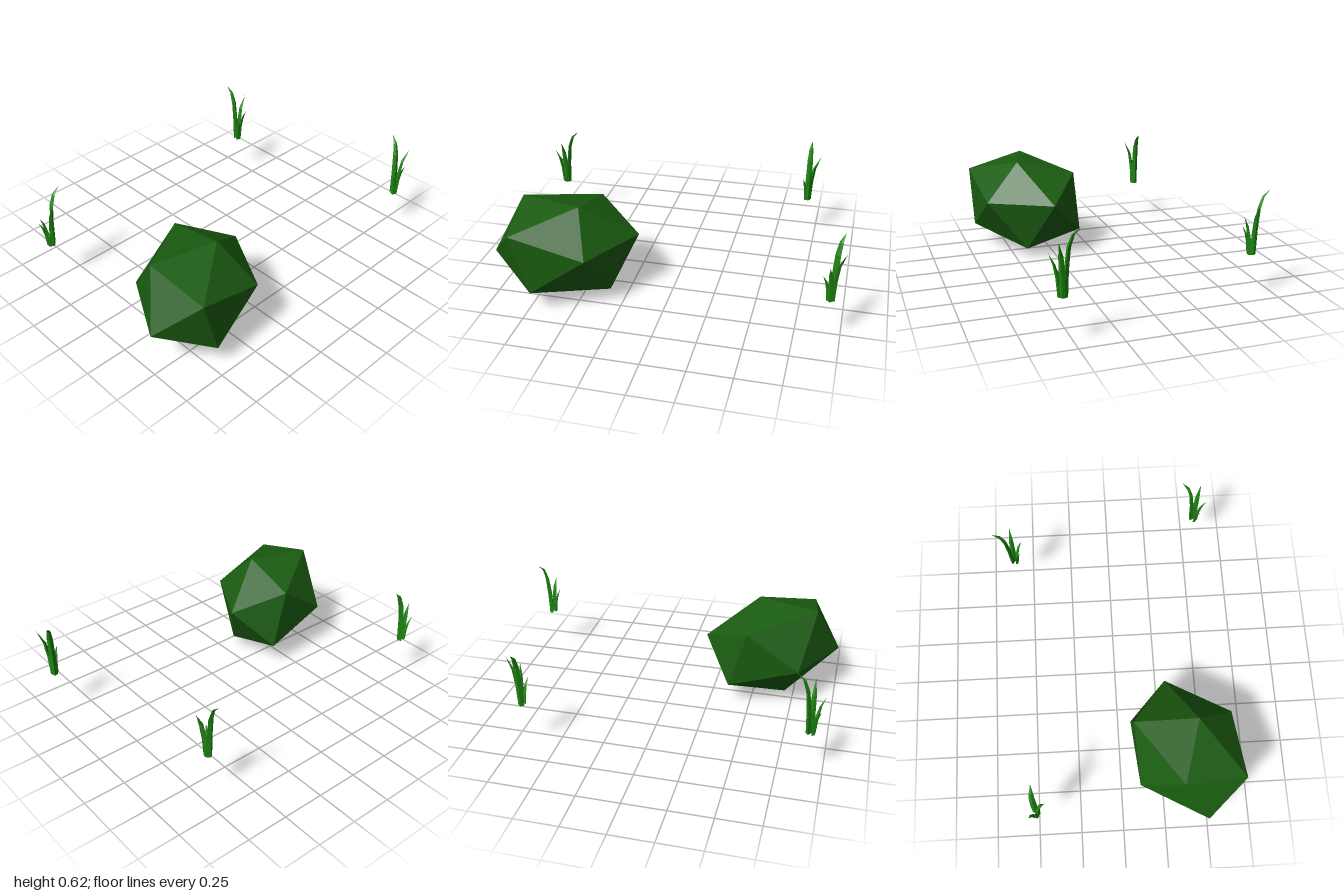
import * as THREE from 'three';
import { ConvexGeometry } from 'three/addons/geometries/ConvexGeometry.js';

const bushMaterial = new THREE.MeshStandardMaterial({ color: 0x1a5c10, flatShading: true });
const grassMaterial = new THREE.MeshStandardMaterial({ color: 0x1f8512, flatShading: true });

// Irregular twenty-sided bush: the hull of twelve corners
function createBush() {
  const corners = [
    [-1, 0.265, 0.487], [-0.695, 0, 0.325], [-0.33, 0.06, 0.43], [-0.193, 0.362, 0.283],
    [-0.493, 0.582, 0.445], [-0.86, 0.568, 0.342], [-0.82, 0.485, 0.695], [-0.4, 0.36, 0.66],
    [-0.72, 0.135, 0.69], [-0.47, 0.492, 0.083], [-0.37, 0.143, 0.075], [-0.786, 0.265, 0.107],
  ].map((p) => new THREE.Vector3(...p));
  const bush = new THREE.Mesh(new ConvexGeometry(corners), bushMaterial);
  bush.name = 'bush';
  return bush;
}

// Blade with a diamond section; each station is [outward reach, height, half width, half depth],
// and the last station is the tip
function bladeGeometry(stations) {
  const positions = [];
  const index = [];
  for (const [r, y, w, d] of stations) {
    positions.push(r + d, y, 0, r, y, -w, r - d, y, 0, r, y, w);
  }
  for (let i = 0; i < stations.length - 1; i++) {
    for (let j = 0; j < 4; j++) {
      const a = i * 4 + j;
      const b = i * 4 + ((j + 1) % 4);
      index.push(a, b, b + 4);
      if (i < stations.length - 2) index.push(a, b + 4, a + 4);
    }
  }
  index.push(0, 2, 1, 0, 3, 2);
  const geometry = new THREE.BufferGeometry();
  geometry.setAttribute('position', new THREE.Float32BufferAttribute(positions, 3));
  geometry.setIndex(index);
  const flat = geometry.toNonIndexed();
  flat.computeVertexNormals();
  return flat;
}

// Four blades fanning out: [name, turn about y in degrees, stations]
const blades = [
  ['tallBlade', 0, [
    [0.012, 0, 0.018, 0.013], [0.018, 0.14, 0.019, 0.013], [0.032, 0.26, 0.017, 0.011],
    [0.055, 0.325, 0.012, 0.008], [0.098, 0.365, 0, 0],
  ]],
  ['mediumBlade', -90, [
    [0.012, 0, 0.016, 0.012], [0.018, 0.12, 0.016, 0.012], [0.034, 0.22, 0.013, 0.009],
    [0.072, 0.303, 0, 0],
  ]],
  ['shortBlade', -164, [
    [0.018, 0, 0.014, 0.01], [0.026, 0.1, 0.014, 0.01], [0.042, 0.17, 0.011, 0.007],
    [0.068, 0.228, 0, 0],
  ]],
  ['smallBlade', 149, [
    [0.018, 0, 0.013, 0.01], [0.024, 0.07, 0.013, 0.01], [0.036, 0.115, 0.01, 0.007],
    [0.058, 0.16, 0, 0],
  ]],
].map(([name, turn, stations]) => ({ name, turn, geometry: bladeGeometry(stations) }));

function createTuft(x, z, turn) {
  const tuft = new THREE.Group();
  tuft.name = 'grassTuft';
  for (const blade of blades) {
    const mesh = new THREE.Mesh(blade.geometry, grassMaterial);
    mesh.name = blade.name;
    mesh.rotation.y = THREE.MathUtils.degToRad(blade.turn);
    tuft.add(mesh);
  }
  tuft.position.set(x, 0.258, z);
  tuft.rotation.y = THREE.MathUtils.degToRad(turn);
  return tuft;
}

export function createModel() {
  const model = new THREE.Group();
  model.name = 'bushAndGrass';
  model.add(
    createBush(),
    createTuft(-0.917, -0.5, 0),
    createTuft(0.69, -0.598, 90),
    createTuft(0.934, 0.556, 62),
  );
  return model;
}
